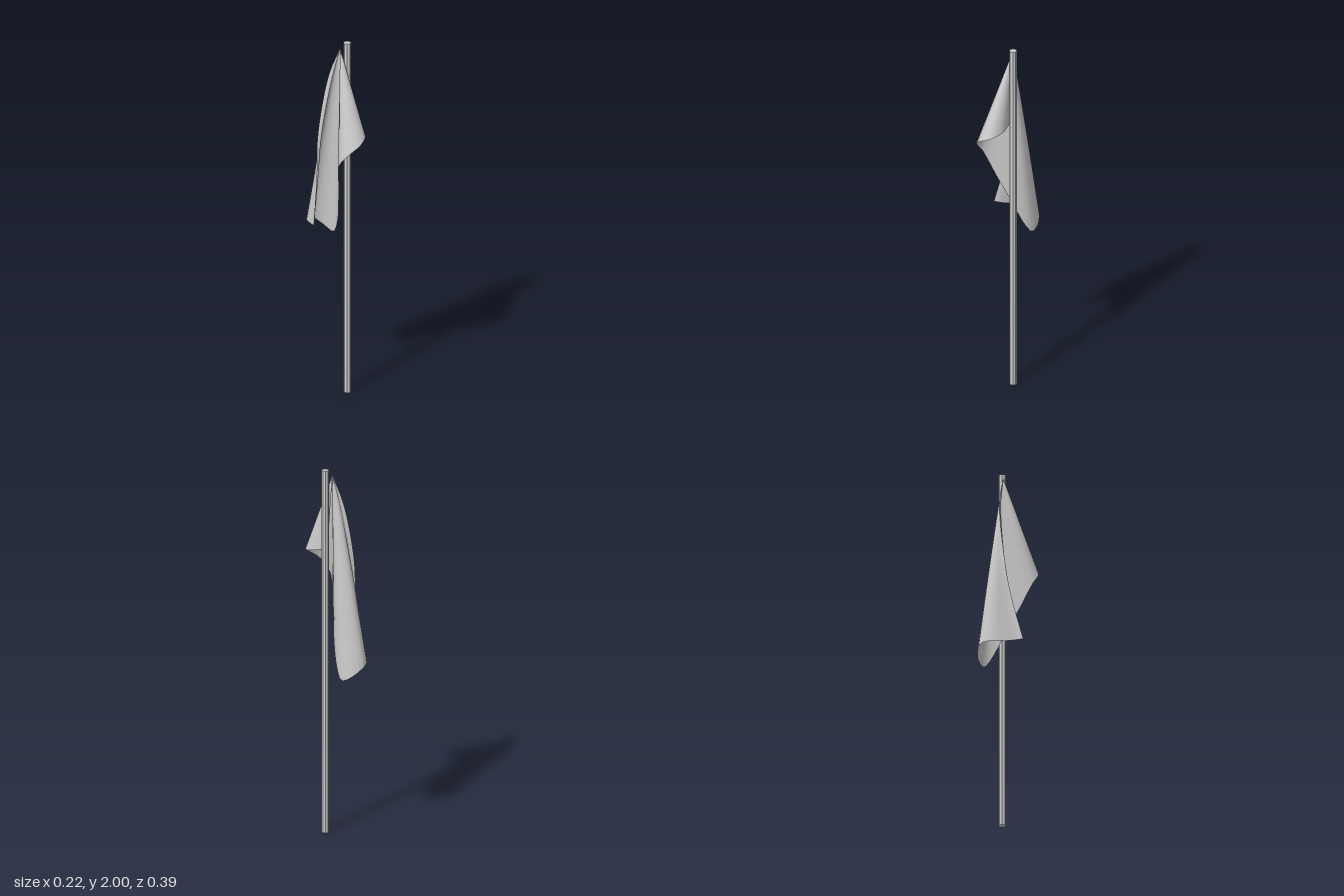
import * as THREE from 'three';

const V = (x, y, z) => new THREE.Vector3(x, y, z);
const U = 36, T = 18; // cloth segments along the hem and from peak to hem

// Draped cloth: strands run from one gathered peak down to an S-shaped hem
function clothGeometry() {
  const peak = V(0.06, 1.97, 0);
  const hem = new THREE.CatmullRomCurve3([
    V(0.07, 1.56, 0.025), V(0.1, 1.54, 0.1), V(0.08, 1.52, 0.172), V(0.025, 1.49, 0.193),
    V(-0.035, 1.44, 0.165), V(-0.048, 1.37, 0.11), V(0, 1.21, 0.052), V(0.05, 1.07, 0),
    V(0.085, 0.94, -0.05), V(0.102, 0.87, -0.1), V(0.085, 0.9, -0.16), V(0.03, 0.95, -0.195),
    V(-0.025, 0.96, -0.165), V(-0.06, 0.97, -0.095), V(-0.088, 0.985, -0.04), V(-0.11, 0.99, -0.02),
  ]);
  // Free outer edge, which bows backwards on its way down
  const fly = new THREE.CatmullRomCurve3([
    peak, V(0.035, 1.83, -0.05), V(0.01, 1.69, -0.07), V(-0.03, 1.45, -0.076),
    V(-0.055, 1.25, -0.055), V(-0.11, 0.99, -0.02),
  ]);
  const tip = hem.getPoint(1);
  const pos = [], index = [];
  for (let i = 0; i <= U; i++) {
    const end = hem.getPoint(i / U);
    const w = Math.pow(Math.max(0, (i / U - 0.5) / 0.5), 3);
    for (let j = 0; j <= T; j++) {
      const t = j / T;
      const bow = fly.getPointAt(t).sub(peak.clone().lerp(tip, t));
      const p = peak.clone().lerp(end, t).addScaledVector(bow, w);
      pos.push(p.x, p.y, p.z);
      if (i < U && j < T) {
        const a = i * (T + 1) + j, b = a + T + 1;
        index.push(a, b, a + 1, b, b + 1, a + 1);
      }
    }
  }
  const g = new THREE.BufferGeometry();
  g.setAttribute('position', new THREE.Float32BufferAttribute(pos, 3));
  g.setIndex(index);
  g.computeVertexNormals();
  return g;
}

export function createModel() {
  const group = new THREE.Group();
  group.name = 'flag';

  // Octagonal pole
  const pole = new THREE.Mesh(
    new THREE.CylinderGeometry(0.02, 0.02, 2, 8),
    new THREE.MeshStandardMaterial({ color: 0xcccccc, flatShading: true }),
  );
  pole.name = 'pole';
  pole.position.set(0.09, 1, 0.022);

  // Hanging cloth
  const cloth = new THREE.Mesh(
    clothGeometry(),
    new THREE.MeshStandardMaterial({ color: 0xcccccc, side: THREE.DoubleSide }),
  );
  cloth.name = 'flagCloth';

  group.add(pole, cloth);
  return group;
}
